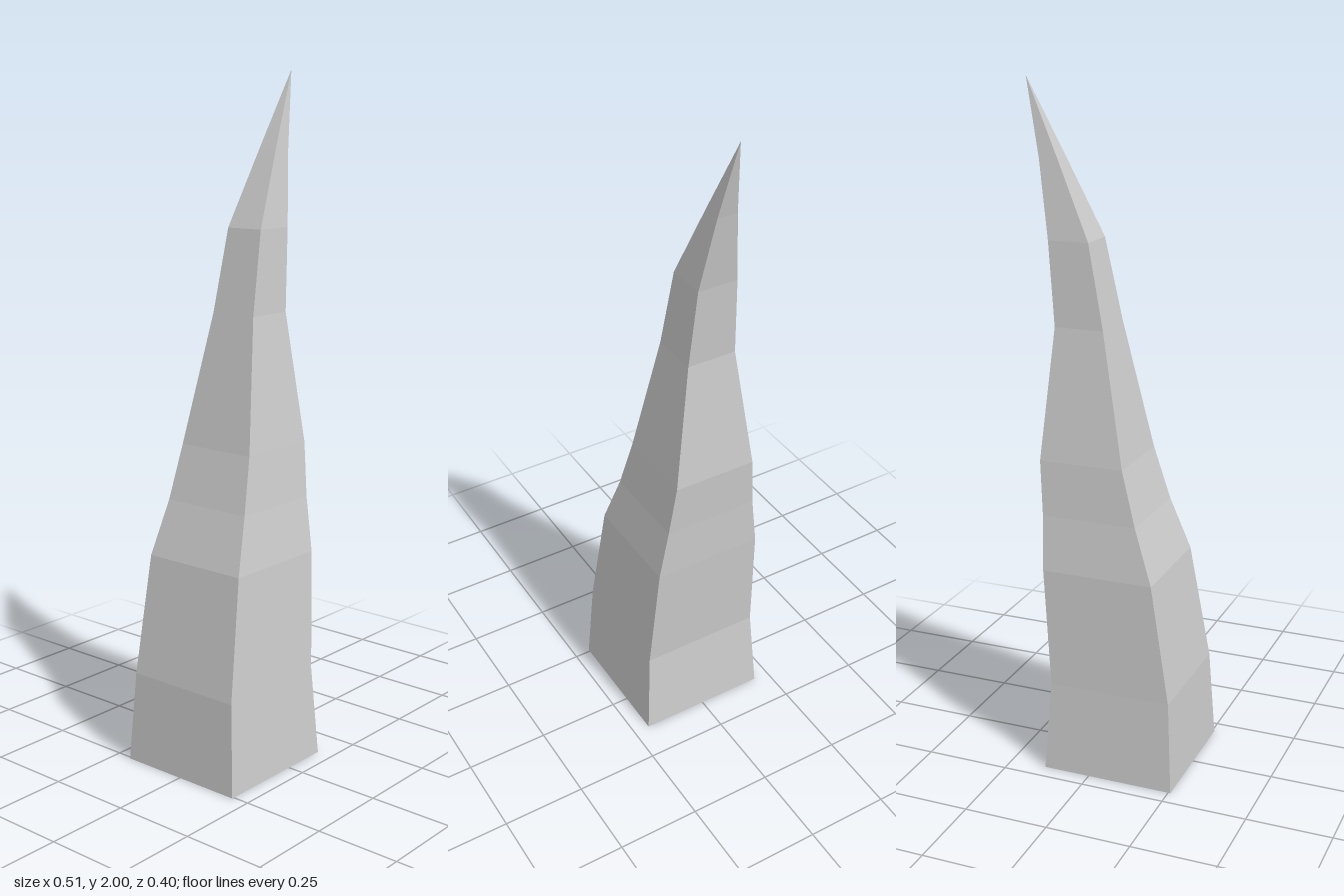
import * as THREE from 'three';

// Rectangular cross-sections from base to tip: y, left x, right x, back z, front z
const SECTIONS = [
  [0, -0.257, 0.14, -0.2, 0.2],
  [0.27, -0.241, 0.124, -0.184, 0.183],
  [0.62, -0.182, 0.15, -0.174, 0.16],
  [0.78, -0.125, 0.158, -0.153, 0.133],
  [0.94, -0.08, 0.171, -0.139, 0.113],
  [1.32, -0.002, 0.144, -0.087, 0.061],
  [1.56, 0.047, 0.168, -0.073, 0.047],
  [1.78, 0.15, 0.206, -0.043, 0.017],
  [2, 0.256, 0.256, -0.013, -0.013],
];

function createSpikeGeometry() {
  const rings = SECTIONS.map(([y, x0, x1, z0, z1]) => [
    [x1, y, z1], [x1, y, z0], [x0, y, z0], [x0, y, z1],
  ]);
  const positions = [];
  const triangle = (a, b, c) => positions.push(...a, ...b, ...c);

  // Four sides, joining each ring to the next; the last ring closes to a point
  for (let i = 0; i < rings.length - 1; i++) {
    const low = rings[i], high = rings[i + 1];
    for (let k = 0; k < 4; k++) {
      const n = (k + 1) % 4;
      triangle(low[k], low[n], high[n]);
      if (i < rings.length - 2) triangle(low[k], high[n], high[k]);
    }
  }

  // Flat base facing down
  const [a, b, c, d] = rings[0];
  triangle(a, c, b);
  triangle(a, d, c);

  const geometry = new THREE.BufferGeometry();
  geometry.setAttribute('position', new THREE.Float32BufferAttribute(positions, 3));
  geometry.computeVertexNormals();
  return geometry;
}

export function createModel() {
  const group = new THREE.Group();
  const material = new THREE.MeshStandardMaterial({ color: 0xcccccc, flatShading: true });
  const spike = new THREE.Mesh(createSpikeGeometry(), material);
  spike.name = 'curvedSpike';
  group.add(spike);
  return group;
}
